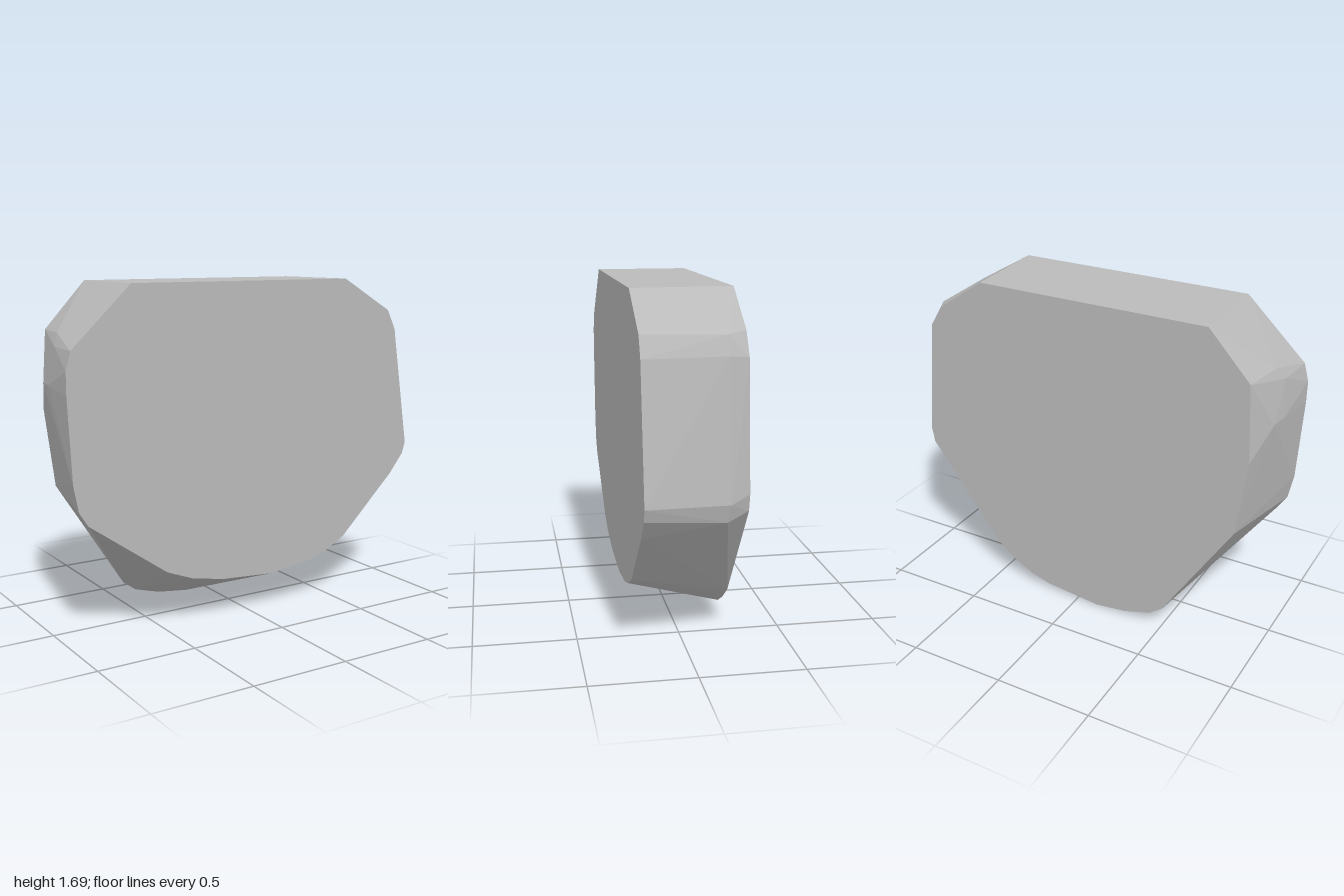
import * as THREE from 'three';
import { ConvexGeometry } from 'three/addons/geometries/ConvexGeometry.js';

export function createModel() {
  const group = new THREE.Group();
  group.name = 'facetedSlab';
  const grey = new THREE.MeshStandardMaterial({ color: 0xbababa });
  grey.name = 'stone grey';

  // Front face outline, clockwise from the upper left
  const front = [
    [-0.67, 1.69], [0.56, 1.69], [0.85, 1.52], [0.90, 1.42], [1.0, 0.79],
    [0.98, 0.73], [0.90, 0.63], [0.58, 0.32], [0.47, 0.26], [0.35, 0.22],
    [0.11, 0.19], [-0.18, 0.21], [-0.36, 0.245], [-0.5, 0.3], [-0.91, 0.59],
    [-0.955, 0.66], [-0.98, 0.79], [-1.0, 1.2], [-1.0, 1.31], [-0.975, 1.40],
  ];
  // Back face outline, smaller and shifted down
  const back = [
    [-0.68, 1.69], [0.53, 1.69], [0.78, 1.52], [0.847, 1.41], [0.903, 0.81],
    [0.888, 0.73], [0.555, 0.285], [0.5, 0.21], [0.39, 0.125], [0.29, 0.068],
    [0.18, 0.035], [-0.12, 0], [-0.29, 0.02], [-0.43, 0.06], [-0.5, 0.11],
    [-0.863, 0.68], [-0.913, 1.07], [-0.892, 1.37], [-0.892, 1.46],
  ];
  // Bevel corners along both sides
  const bevel = [
    [0.94, 0.775, -0.15], [0.92, 0.69, -0.14],
    [0.87, 1.42, -0.15], [0.835, 1.51, -0.15],
    [-0.925, 1.46, -0.02], [-0.96, 1.40, 0.03], [-0.95, 1.35, -0.06],
    [-0.98, 1.22, -0.01], [-0.968, 1.22, -0.1],
  ];

  const depth = 0.243;
  const points = [
    ...front.map(([x, y]) => new THREE.Vector3(x, y, depth)),
    ...back.map(([x, y]) => new THREE.Vector3(x, y, -depth)),
    ...bevel.map((p) => new THREE.Vector3(...p)),
  ];
  const slab = new THREE.Mesh(new ConvexGeometry(points), grey);
  slab.name = 'slab';
  group.add(slab);
  return group;
}
